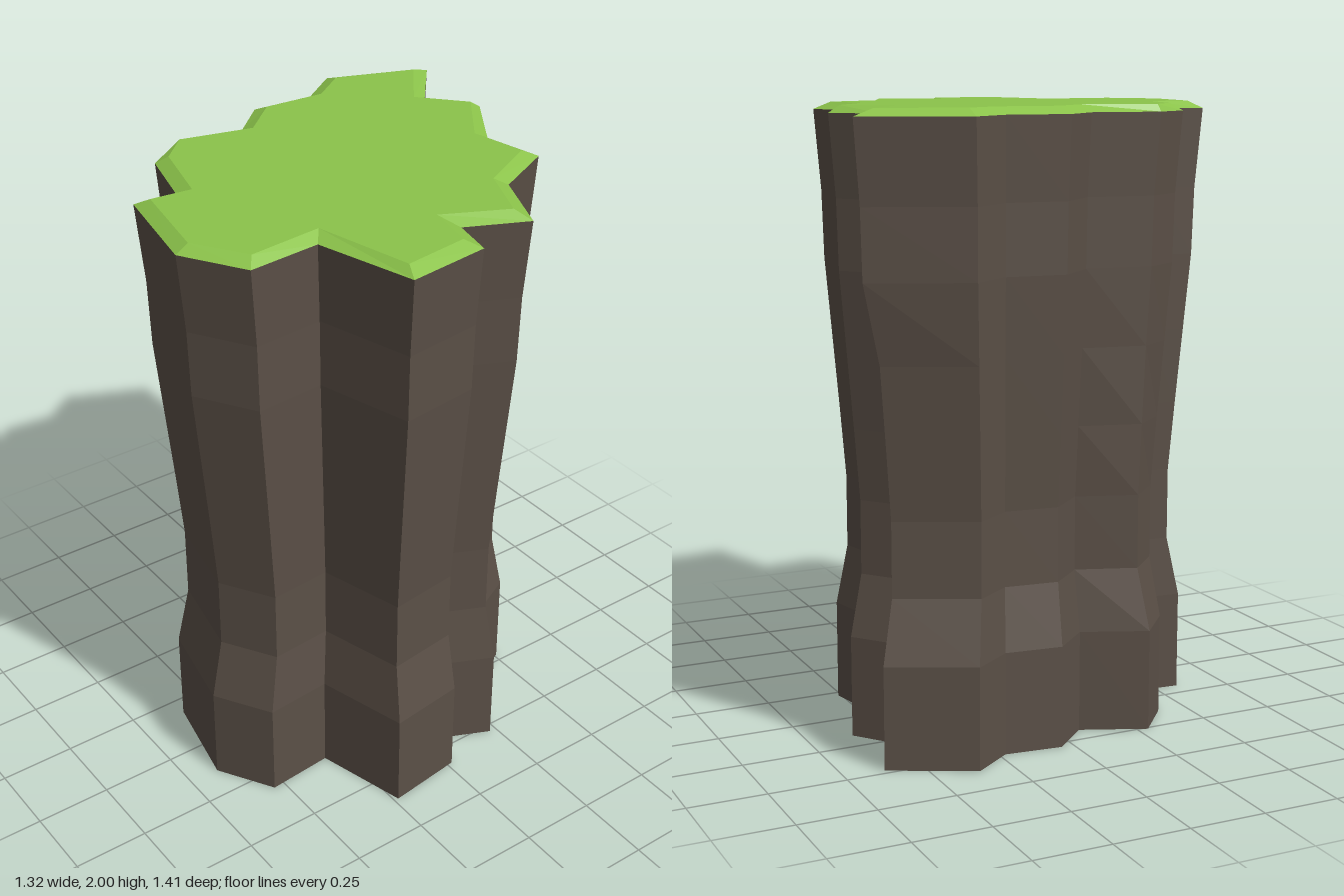
import * as THREE from 'three';

// Jagged trunk outline at the top, [x, z], clockwise from above
const OUTLINE = [
  [-0.52, -0.71], [-0.315, -0.54], [-0.17, -0.655], [0.04, -0.515], [0.24, -0.555], [0.345, -0.345],
  [0.575, -0.245], [0.485, -0.05], [0.625, -0.02], [0.66, 0.255], [0.33, 0.345], [0.35, 0.585],
  [0.15, 0.705], [-0.2, 0.635], [-0.19, 0.495], [-0.41, 0.435], [-0.49, 0.31], [-0.46, 0.085],
  [-0.58, -0.045], [-0.56, -0.25], [-0.66, -0.39],
];
// The same outline drawn in by the bevel of the grass
const INSET = [
  [-0.505, -0.64], [-0.315, -0.495], [-0.175, -0.62], [0.03, -0.47], [0.215, -0.505], [0.32, -0.305],
  [0.515, -0.22], [0.415, -0.015], [0.58, 0.02], [0.61, 0.235], [0.285, 0.31], [0.31, 0.555],
  [0.145, 0.66], [-0.16, 0.6], [-0.145, 0.465], [-0.385, 0.4], [-0.475, 0.305], [-0.415, 0.07],
  [-0.53, -0.06], [-0.515, -0.265], [-0.6, -0.385],
];
// Trunk levels: [height, scale]
const LEVELS = [
  [0, 0.92], [0.33, 0.92], [0.53, 0.855], [0.77, 0.855], [1, 0.885],
  [1.25, 0.92], [1.5, 0.955], [1.72, 0.965], [1.977, 1],
];

const ring = (outline, y, s = 1) => outline.map(([x, z]) => new THREE.Vector3(x * s, y, z * s));

function geometryFrom(points) {
  const geo = new THREE.BufferGeometry().setFromPoints(points);
  geo.computeVertexNormals();
  return geo;
}

// Walls between successive rings
function walls(rings) {
  const out = [];
  for (let k = 0; k + 1 < rings.length; k++) {
    const lo = rings[k], hi = rings[k + 1];
    lo.forEach((p, i) => {
      const j = (i + 1) % lo.length;
      out.push(p, hi[i], hi[j], p, hi[j], lo[j]);
    });
  }
  return geometryFrom(out);
}

// Flat lid over one ring, facing up or down
function lid(points, up) {
  const flat = points.map((p) => new THREE.Vector2(p.x, p.z));
  const out = [];
  for (const [a, b, c] of THREE.ShapeUtils.triangulateShape(flat, [])) {
    const area = THREE.ShapeUtils.area([flat[a], flat[b], flat[c]]);
    const facesUp = area < 0;
    out.push(points[a], ...(facesUp === up ? [points[b], points[c]] : [points[c], points[b]]));
  }
  return geometryFrom(out);
}

export function createModel() {
  const model = new THREE.Group();
  const bark = new THREE.MeshStandardMaterial({ color: 0x5b5047, flatShading: true });
  bark.name = 'bark brown';
  const grass = new THREE.MeshStandardMaterial({ color: 0x8bc34a, flatShading: true });
  grass.name = 'grass green';

  const add = (name, geometry, material) => {
    const mesh = new THREE.Mesh(geometry, material);
    mesh.name = name;
    model.add(mesh);
  };

  // Trunk, waisted low down and flaring towards the top
  const rings = LEVELS.map(([y, s]) => {
    const r = ring(OUTLINE, y, s);
    // One ridge stays out further than the rest of the trunk
    r[16].x = y < 0.4 ? -0.51 : Math.min(r[16].x, -0.46);
    // The back corner leans outwards as it rises
    r[0].z *= s < 0.95 ? 0.95 : 1;
    return r;
  });
  add('trunk', walls(rings), bark);
  add('trunkBase', lid(rings[0], false), bark);

  // Bevelled grass cap
  const rim = rings[rings.length - 1];
  const top = ring(INSET, 2);
  add('grassEdge', walls([rim, top]), grass);
  add('grassTop', lid(top, true), grass);
  return model;
}
